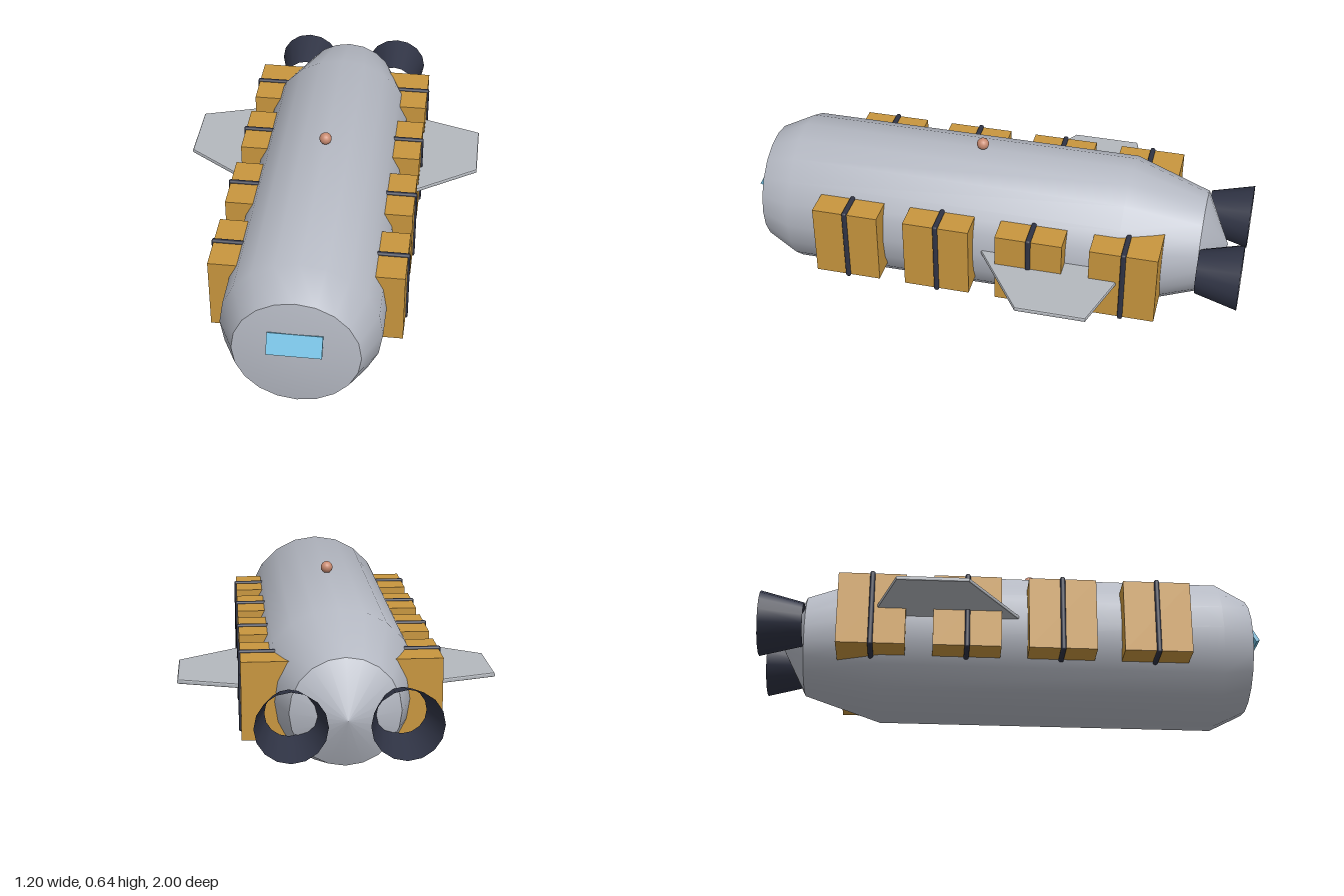
import * as THREE from 'three';
import { toCreasedNormals } from 'three/addons/utils/BufferGeometryUtils.js';
import { RoundedBoxGeometry } from 'three/addons/geometries/RoundedBoxGeometry.js';

const AXIS_Y = 0.3;

function material(name, color, side = THREE.FrontSide) {
  const m = new THREE.MeshStandardMaterial({ color, side });
  m.name = name;
  return m;
}

export function createModel() {
  const group = new THREE.Group();
  const hullGrey = material('hull grey', 0xb6bac4);
  const wingGrey = material('wing grey', 0xb4b8be);
  const cargoOrange = material('cargo orange', 0xc8963e);
  const darkSteel = material('dark steel', 0x2f3344, THREE.DoubleSide);
  const glassBlue = material('glass blue', 0x6fbde0);
  const copper = material('copper', 0xc88a70);

  function add(name, geometry, mat, x, y, z) {
    const mesh = new THREE.Mesh(geometry, mat);
    mesh.name = name;
    mesh.position.set(x, y, z);
    group.add(mesh);
    return mesh;
  }

  // Hull: turned profile (radius, z) from tail to nose
  const profile = [
    [0, -0.93], [0.2, -0.83], [0.3, -0.53], [0.3, 0.81], [0.235, 0.94], [0, 0.972],
  ].map(([r, z]) => new THREE.Vector2(r, z));
  const hull = new THREE.LatheGeometry(profile, 20).rotateX(Math.PI / 2);
  add('hull', toCreasedNormals(hull, 0.6), hullGrey, 0, AXIS_Y, 0);

  // Sloping cockpit window and the beacon on the roof
  add('cockpitWindow', new THREE.BoxGeometry(0.2, 0.08, 0.015), glassBlue, 0, 0.371, 0.974)
    .rotation.x = -0.5;
  add('beacon', new THREE.SphereGeometry(0.024, 16, 12), copper, 0, 0.621, 0.07);

  // Shared geometry for cargo, straps and engines
  const crate = new THREE.BoxGeometry(0.21, 0.295, 0.262);
  const strap = new RoundedBoxGeometry(0.21, 0.313, 0.02, 2, 0.008);
  const nozzle = new THREE.CylinderGeometry(0.086, 0.128, 0.168, 16, 1, true)
    .rotateX(Math.PI / 2);

  for (const [side, s] of [['left', 1], ['right', -1]]) {
    // Row of strapped cargo crates set into the hull
    for (let i = 0; i < 4; i++) {
      const z = 0.538 - i * 0.3675;
      add(`${side}Crate${i + 1}`, crate, cargoOrange, s * 0.26, 0.303, z);
      add(`${side}Strap${i + 1}`, strap, darkSteel, s * 0.268, 0.303, z);
    }

    // Swept wing plate with softened edges
    const outline = new THREE.Shape(
      [[0.26, 0.02], [0.3, -0.005], [0.592, -0.203], [0.592, -0.463], [0.26, -0.568]]
        .map(([x, z]) => new THREE.Vector2(s * x, z)));
    const wing = new THREE.ExtrudeGeometry(outline, {
      depth: 0.008, bevelThickness: 0.005, bevelSize: 0.007, bevelSegments: 2,
    }).rotateX(Math.PI / 2);
    add(`${side}Wing`, wing, wingGrey, 0, 0.317, 0);

    // Open engine bell, widest at the tail
    add(`${side}Engine`, nozzle, darkSteel, s * 0.2, 0.303, -0.916);
  }

  return group;
}
